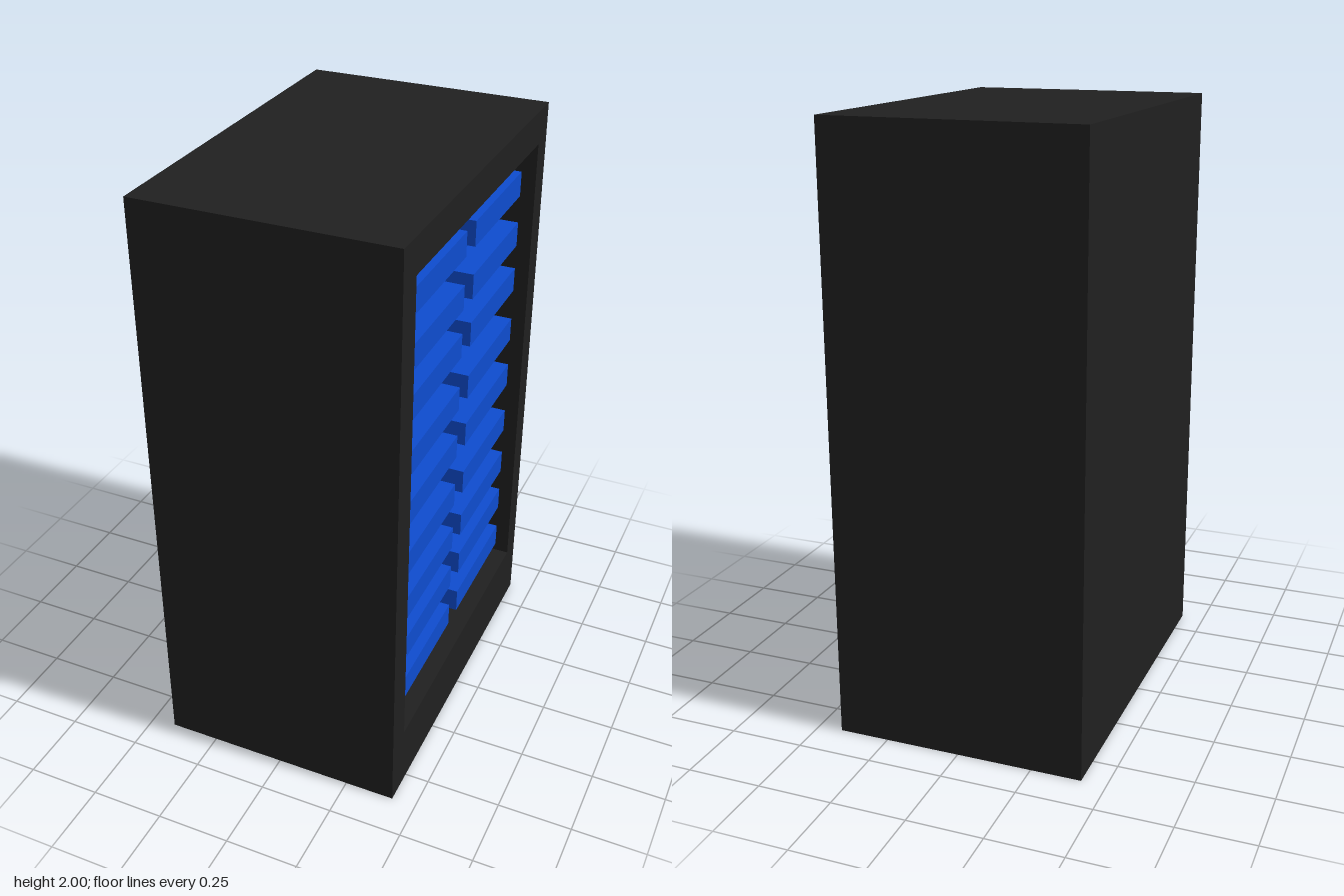
import * as THREE from 'three';

const W = 0.836, H = 2, D = 1.236; // cabinet size
const OPEN = { z0: -0.535, z1: 0.525, y0: 0.22, y1: 1.885 }; // opening in the +x side
const RECESS = 0.74;

export function createModel() {
  const model = new THREE.Group();
  const dark = new THREE.MeshStandardMaterial({ color: 0x202020, flatShading: true });
  const blue = new THREE.MeshStandardMaterial({ color: 0x0e4ccf, flatShading: true });

  const add = (parent, name, geometry, material, x = 0, y = 0, z = 0) => {
    const mesh = new THREE.Mesh(geometry, material);
    mesh.name = name;
    mesh.position.set(x, y, z);
    parent.add(mesh);
    return mesh;
  };

  // Box without its +x face
  const openBox = (w, h, d, inward) => {
    const g = new THREE.BoxGeometry(w, h, d);
    const index = Array.from(g.index.array).slice(6);
    g.setIndex(inward ? index.reverse() : index);
    g.clearGroups();
    return g;
  };

  // Outer shell: five closed sides
  const cabinet = new THREE.Group();
  cabinet.name = 'cabinet';
  model.add(cabinet);
  add(cabinet, 'outerShell', openBox(W, H, D, false), dark, 0, H / 2, 0);

  // Side face with the rectangular opening, drawn in (-z, y)
  const rect = (Type, a, b, c, d) => new Type([
    new THREE.Vector2(a, c), new THREE.Vector2(b, c),
    new THREE.Vector2(b, d), new THREE.Vector2(a, d),
  ]);
  const face = rect(THREE.Shape, -D / 2, D / 2, 0, H);
  face.holes.push(rect(THREE.Path, -OPEN.z1, -OPEN.z0, OPEN.y0, OPEN.y1));
  add(cabinet, 'openingFrame', new THREE.ShapeGeometry(face).rotateY(Math.PI / 2), dark, W / 2);

  // Recess lining, facing inward
  add(cabinet, 'recess',
    openBox(RECESS, OPEN.y1 - OPEN.y0, OPEN.z1 - OPEN.z0, true), dark,
    W / 2 - RECESS / 2, (OPEN.y0 + OPEN.y1) / 2, (OPEN.z0 + OPEN.z1) / 2);

  // Two columns of blocks, set slightly behind the opening
  const heights = [0.323, 0.495, 0.662, 0.842, 1.034, 1.217, 1.41, 1.578, 1.757];
  const front = 0.38, depth = front - (W / 2 - RECESS);
  const blockGeometry = new THREE.BoxGeometry(depth, 0.085, 0.435);
  for (const [name, z] of [['frontBlocks', 0.2375], ['rearBlocks', -0.2775]]) {
    const column = new THREE.Group();
    column.name = name;
    model.add(column);
    heights.forEach((y, i) =>
      add(column, `block${i + 1}`, blockGeometry, blue, front - depth / 2, y, z));
  }
  return model;
}
